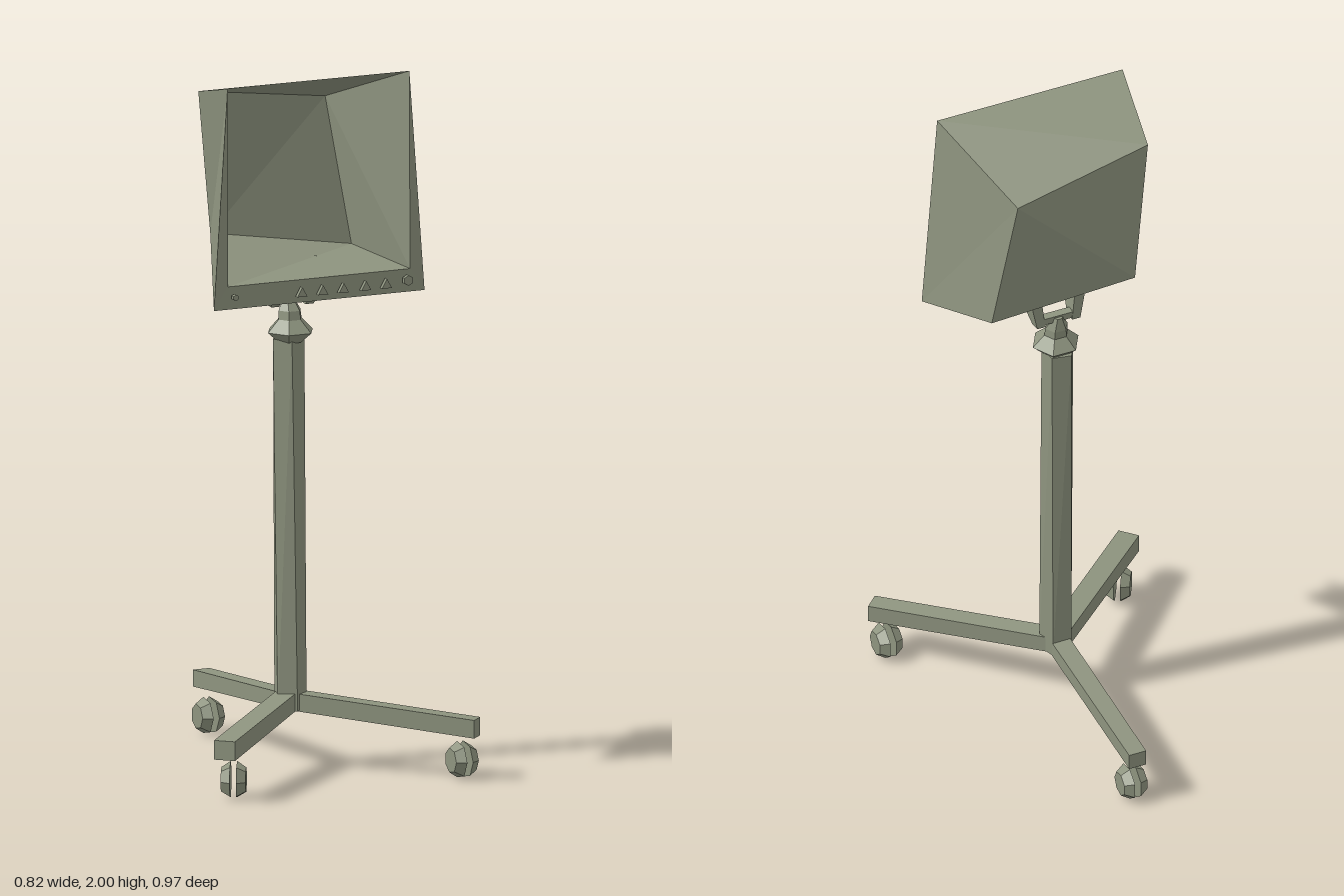
import * as THREE from 'three';

const paint = new THREE.MeshStandardMaterial({ color: 0x8e947f, flatShading: true, side: THREE.DoubleSide });
paint.name = 'grey green';

function mesh(geometry, name, parent) {
  const m = new THREE.Mesh(geometry, paint);
  m.name = name;
  parent.add(m);
  return m;
}

// Flat faces from four-cornered outlines
function quads(list) {
  const pos = [];
  for (const [a, b, c, d] of list) pos.push(...a, ...b, ...c, ...a, ...c, ...d);
  const g = new THREE.BufferGeometry();
  g.setAttribute('position', new THREE.Float32BufferAttribute(pos, 3));
  g.computeVertexNormals();
  return g;
}

// Closed skin through rings of equal point count
function loft(rings) {
  const list = [];
  const n = rings[0].length;
  for (let i = 0; i + 1 < rings.length; i++) {
    for (let j = 0; j < n; j++) {
      const k = (j + 1) % n;
      list.push([rings[i][j], rings[i][k], rings[i + 1][k], rings[i + 1][j]]);
    }
  }
  const first = rings[0], last = rings[rings.length - 1];
  for (let j = 1; j + 1 < n; j++) {
    list.push([first[0], first[j + 1], first[j], first[0]]);
    list.push([last[0], last[j], last[j + 1], last[0]]);
  }
  return quads(list);
}

// Horizontal polygon, points running so that upward lofts face outward
function ring(x, y, z, r, n, turn = 0) {
  return Array.from({ length: n }, (_, i) => {
    const a = turn - (i / n) * Math.PI * 2;
    return [x + r * Math.cos(a), y, z + r * Math.sin(a)];
  });
}

// Rectangular bar between two points, with width and height at each end
function bar(a, b, wa, ha, wb, hb) {
  const dx = b[0] - a[0], dz = b[2] - a[2], len = Math.hypot(dx, dz);
  const sx = -dz / len, sz = dx / len;
  const section = (p, w, h) => [[1, 1], [1, -1], [-1, -1], [-1, 1]].map(([s, t]) =>
    [p[0] + sx * s * w / 2, p[1] + t * h / 2, p[2] + sz * s * w / 2]);
  return loft([section(a, wa, ha), section(b, wb, hb)]);
}

export function createModel() {
  const model = new THREE.Group();
  model.name = 'monitorOnStand';

  // Housing: skewed back, tapered outer skin, open recess and front rim
  const back = [[-0.18, 1.52, -0.065], [0.24, 1.46, -0.02], [0.18, 1.88, -0.065], [-0.24, 1.94, -0.02]];
  const outer = [[-0.33, 1.37, 0.258], [0.33, 1.37, 0.258], [0.285, 2, 0.253], [-0.285, 2, 0.253]];
  const inner = [[-0.285, 1.435, 0.257], [0.285, 1.435, 0.257], outer[2], outer[3]];
  const sides = [0, 1, 2, 3];
  const skin = (front, ids) => ids.map((i) => {
    const j = (i + 1) % 4;
    return [front[i], back[i], back[j], front[j]];
  });
  const housing = new THREE.Group();
  housing.name = 'housing';
  model.add(housing);
  mesh(quads([...skin(outer, sides), [back[0], back[3], back[2], back[1]]]), 'outerShell', housing);
  mesh(quads(skin(inner, [0, 1, 3])), 'screenRecess', housing);
  mesh(quads([0, 1, 3].map((i) => {
    const j = (i + 1) % 4;
    return [outer[i], outer[j], inner[j], inner[i]];
  })), 'frontRim', housing);

  // Control buttons along the lower rim
  const button = (x, r, n, name) => {
    const g = new THREE.CylinderGeometry(r, r, 0.013, n).rotateX(Math.PI / 2);
    if (n === 3) g.rotateZ(Math.PI);
    // put one corner of the triangle at the top
    g.computeBoundingBox();
    if (n === 3 && g.boundingBox.max.y < r * 0.9) g.rotateZ(Math.PI);
    mesh(g, name, housing).position.set(x, n === 3 ? 1.4 : 1.407, 0.277);
  };
  for (const x of [-0.065, 0, 0.065, 0.135, 0.2]) button(x, 0.018, 3, 'triangleButton');
  button(0.268, 0.015, 6, 'powerButton');
  button(-0.273, 0.009, 6, 'indicator');

  // Tilting fork under the housing
  for (const s of [-1, 1]) {
    const prong = (x) => [[x * 1.15, 1.42, 0.16], [x * 1.15, 1.455, 0.06], [x * 0.85, 1.33, 0.055], [x * 0.85, 1.325, 0.09]]
      .map(([px, y, z]) => [px * s, y, z]);
    mesh(loft([prong(0.048), prong(0.078)]), 'forkProng', model);
  }
  mesh(bar([-0.06, 1.345, 0.07], [0.06, 1.345, 0.07], 0.025, 0.02, 0.025, 0.02), 'forkPivot', model);

  // Neck with its collar
  mesh(loft([
    ring(0, 1.22, 0.075, 0.036, 6),
    ring(0, 1.25, 0.077, 0.07, 6),
    ring(0, 1.285, 0.075, 0.036, 6),
    ring(0, 1.31, 0.072, 0.034, 6),
    ring(0, 1.35, 0.06, 0.014, 6),
  ]), 'neck', model);

  // Slightly leaning column
  mesh(loft([ring(-0.002, 0.17, 0.077, 0.048, 5, 0.3), ring(-0.004, 1.23, 0.066, 0.048, 5, 0.5)]), 'column', model);

  // Three legs
  mesh(bar([0, 0.193, 0.06], [-0.002, 0.157, -0.478], 0.055, 0.045, 0.052, 0.048), 'backLeg', model);
  mesh(bar([0, 0.197, 0.07], [-0.393, 0.153, 0.45], 0.062, 0.05, 0.062, 0.055), 'rightLeg', model);
  mesh(bar([0, 0.195, 0.07], [0.39, 0.15, 0.468], 0.055, 0.05, 0.052, 0.052), 'leftLeg', model);

  // Twin-wheel casters
  for (const [x, z, turn] of [[0, -0.438, 0], [0.361, 0.43, 0], [-0.338, 0.398, -Math.PI / 6]]) {
    const caster = new THREE.Group();
    caster.name = 'caster';
    caster.position.set(x, 0.055, z);
    caster.rotation.y = turn;
    for (const s of [-1, 1]) {
      const wheel = new THREE.CylinderGeometry(0.036, 0.053, 0.026, 7).rotateZ(-s * Math.PI / 2);
      mesh(wheel, 'wheel', caster).position.x = s * 0.022;
    }
    model.add(caster);
  }

  // Rest the wheels on the ground
  const box = new THREE.Box3().setFromObject(model);
  model.position.y = -box.min.y;
  return model;
}
